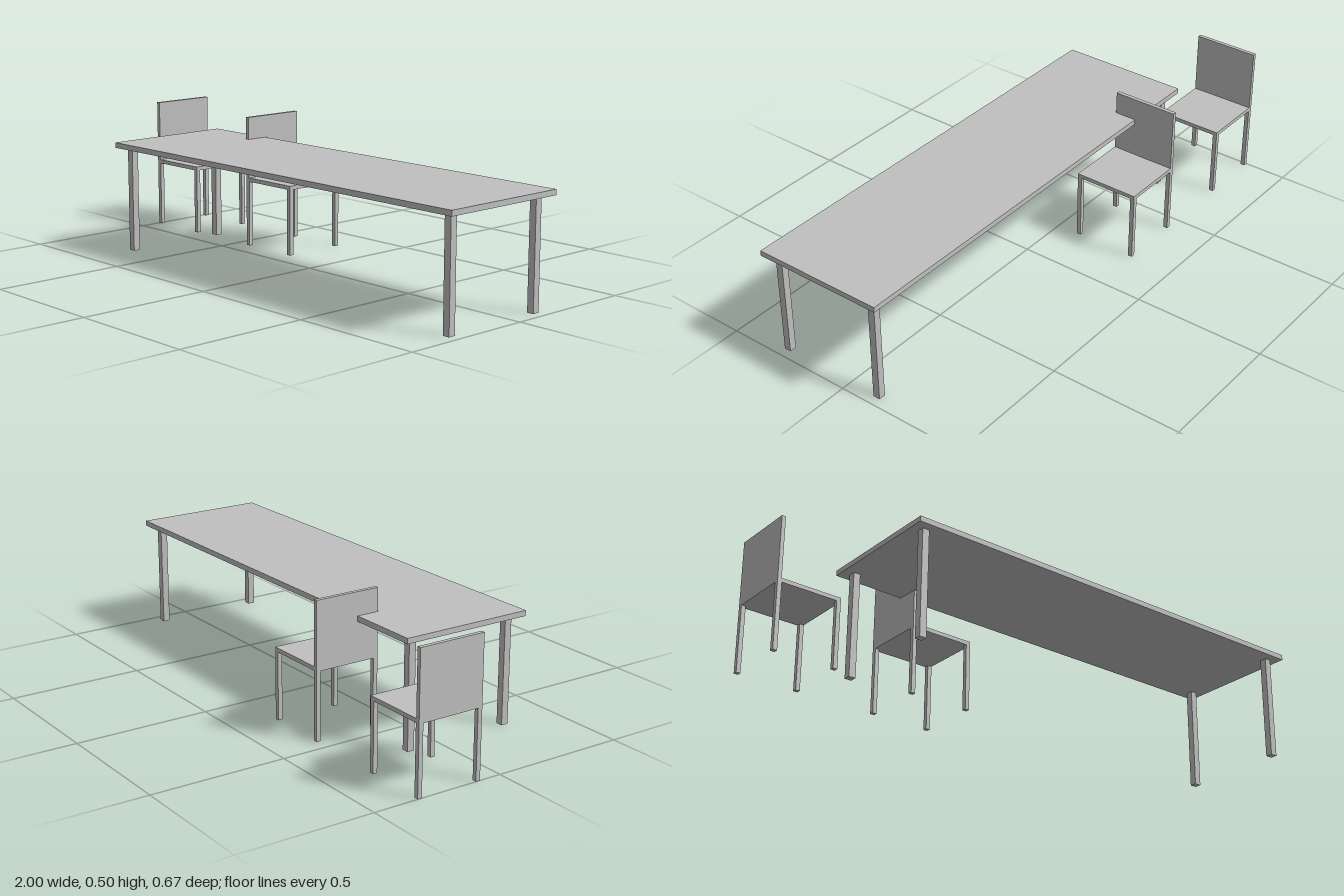
import * as THREE from 'three';

const grey = new THREE.MeshStandardMaterial({ color: 0xc0c0c0 });
grey.name = 'plain grey';

// Box given by its minimum and maximum corners
function block(parent, name, [x0, y0, z0], [x1, y1, z1]) {
  const mesh = new THREE.Mesh(new THREE.BoxGeometry(x1 - x0, y1 - y0, z1 - z0), grey);
  mesh.position.set((x0 + x1) / 2, (y0 + y1) / 2, (z0 + z1) / 2);
  mesh.name = name;
  parent.add(mesh);
}

// Four square legs under a slab of size w by d, set in from its edges
function legs(parent, name, w, d, height, size, inset) {
  for (const sx of [-1, 1]) {
    for (const sz of [-1, 1]) {
      const x = sx * (w / 2 - inset - size / 2);
      const z = sz * (d / 2 - inset - size / 2);
      block(parent, name, [x - size / 2, 0, z - size / 2], [x + size / 2, height, z + size / 2]);
    }
  }
}

function createTable() {
  const table = new THREE.Group();
  table.name = 'table';
  const w = 1.721, d = 0.5;
  block(table, 'tableTop', [-w / 2, 0.395, -d / 2], [w / 2, 0.415, d / 2]);
  legs(table, 'tableLeg', w, d, 0.395, 0.0265, 0.0335);
  return table;
}

// Chair facing +x, with its backrest along the -x edge
function createChair() {
  const chair = new THREE.Group();
  chair.name = 'chair';
  const h = 0.125;
  block(chair, 'seat', [-h, 0.251, -h], [h, 0.266, h]);
  block(chair, 'backrest', [-h, 0.266, -h], [-h + 0.015, 0.5, h]);
  legs(chair, 'chairLeg', 2 * h, 2 * h, 0.251, 0.0165, 0);
  return chair;
}

export function createModel() {
  const model = new THREE.Group();
  model.name = 'diningSet';

  const table = createTable();
  table.position.set(0.1395, 0, 0.083);
  model.add(table);

  // Two chairs along the back edge of the table
  for (const x of [-0.875, -0.322]) {
    const chair = createChair();
    chair.position.set(x, 0, -0.208);
    model.add(chair);
  }
  return model;
}
